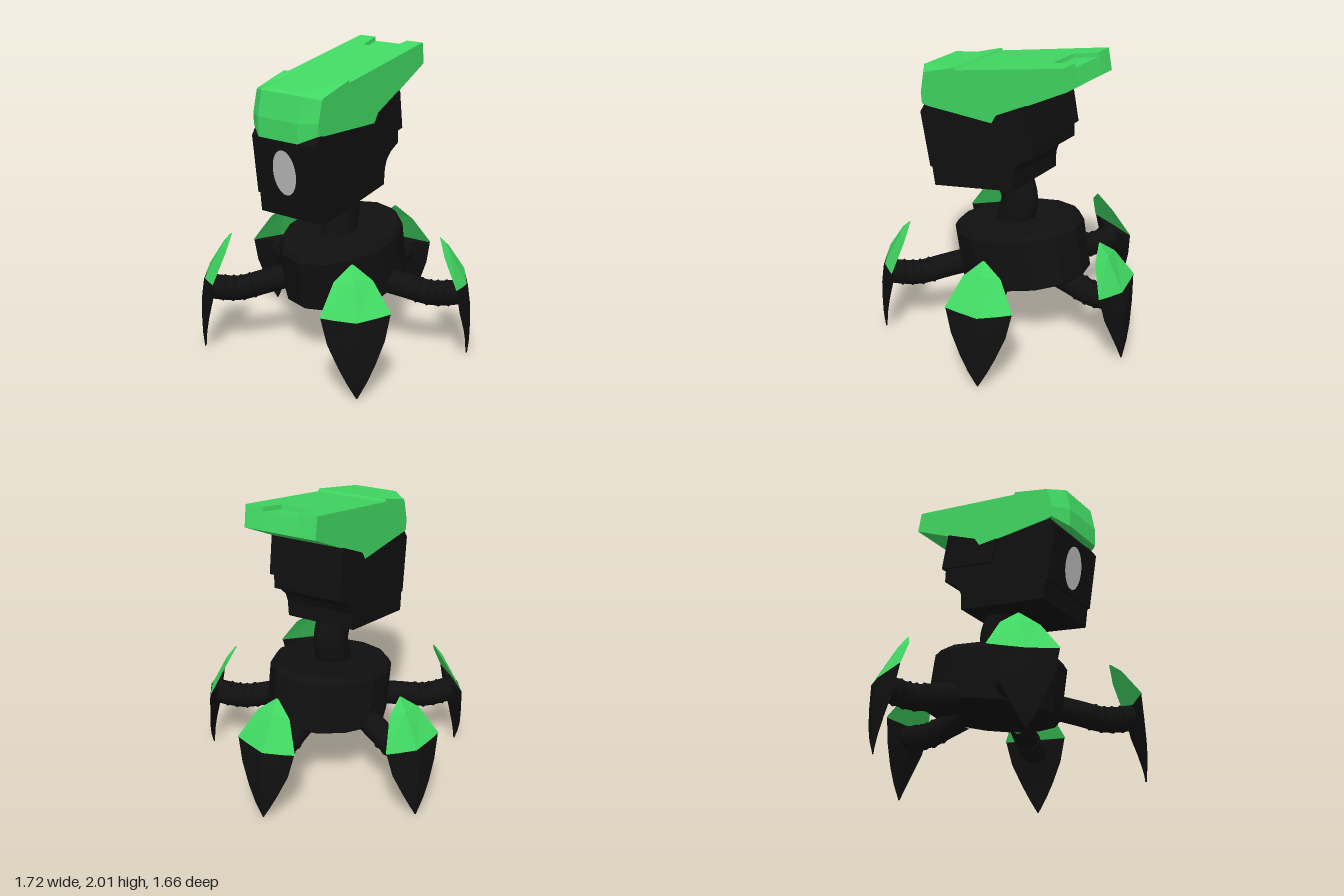
import * as THREE from 'three';

const paint = (name, color) => Object.assign(new THREE.MeshStandardMaterial({ color }), { name });

// Flat-faced solid from four-cornered sections, listed from top to bottom:
// [middle y, edge y, half width, edge depth, outer depth, inner depth]
function loft(sections) {
  const rings = sections.map(([ym, ye, w, edge, outer, inner]) =>
    [[-w, ye, edge], [0, ym, outer], [w, ye, edge], [0, ym, inner]]);
  const pos = [];
  const tri = (a, b, c) => pos.push(...a, ...b, ...c);
  for (let k = 0; k < rings.length - 1; k++) {
    const a = rings[k], b = rings[k + 1];
    for (let i = 0; i < 4; i++) {
      const j = (i + 1) % 4;
      tri(b[i], b[j], a[j]);
      tri(b[i], a[j], a[i]);
    }
  }
  const t = rings[0], e = rings[rings.length - 1];
  tri(t[0], t[1], t[2]); tri(t[0], t[2], t[3]);
  tri(e[0], e[2], e[1]); tri(e[0], e[3], e[2]);
  const g = new THREE.BufferGeometry();
  g.setAttribute('position', new THREE.Float32BufferAttribute(pos, 3));
  g.computeVertexNormals();
  return g;
}

// Side profile of [z, y] points stretched across x through the given stations;
// rule(point, station index) may shift points at each station
function sideExtrude(profile, stations, rule) {
  const shape = new THREE.Shape(profile.map(([z, y]) => new THREE.Vector2(z, y)));
  const steps = stations.length - 1;
  const g = new THREE.ExtrudeGeometry(shape, { depth: 1, steps, bevelEnabled: false });
  const p = g.attributes.position;
  for (let i = 0; i < p.count; i++) {
    const s = Math.round(p.getZ(i) * steps);
    const v = new THREE.Vector3(-stations[s], p.getY(i), p.getX(i));
    if (rule) rule(v, s);
    p.setXYZ(i, v.x, v.y, v.z);
  }
  g.computeVertexNormals();
  return g;
}

export function createModel() {
  const black = paint('black shell', 0x101010);
  const green = paint('green armour', 0x41d963);
  const grey = paint('grey eye', 0xc0c0c0);
  const model = new THREE.Group();
  model.name = 'walkerRobot';
  const add = (parent, name, geo, mat) => {
    const m = new THREE.Mesh(geo, mat);
    m.name = name;
    parent.add(m);
    return m;
  };

  // Tilted drum body with a small bevel
  const drum = [[0, -0.19], [0.46, -0.19], [0.47, -0.18], [0.47, 0.15], [0.44, 0.188], [0, 0.188]];
  const bodyGeo = new THREE.LatheGeometry(drum.map(([r, y]) => new THREE.Vector2(r, y)), 14).toNonIndexed();
  bodyGeo.scale(0.83, 1, 1);
  bodyGeo.computeVertexNormals();
  const body = add(model, 'body', bodyGeo, black);
  body.position.set(-0.01, 0.605, -0.005);
  body.rotation.x = 0.175;

  // Curved neck
  const neckPath = new THREE.CatmullRomCurve3([[0.07, 0.7], [0.035, 0.82], [0.01, 0.95], [0.06, 1.08], [0.12, 1.16]]
    .map(([z, y]) => new THREE.Vector3(-0.01, y, z)));
  add(model, 'neck', new THREE.TubeGeometry(neckPath, 16, 0.13, 16), black).scale.x = 0.86;

  // Head, slightly rolled to one side
  const head = new THREE.Group();
  head.name = 'head';
  head.position.x = -0.037;
  head.rotation.z = -0.03;
  model.add(head);

  add(head, 'face', sideExtrude([
    [0.635, 1.5], [0.575, 1.12], [0.557, 1.12], [0.54, 0.99], [-0.115, 1.11], [-0.12, 1.22],
    [-0.14, 1.275], [-0.19, 1.325], [-0.265, 1.365], [-0.26, 1.5], [-0.22, 1.7], [-0.15, 1.74], [0.57, 1.6],
  ], [-0.246, 0.246]), black);

  // Wider plates at the back of the head
  add(head, 'backHeadPanel', sideExtrude([
    [0.18, 1.545], [0.14, 1.38], [-0.285, 1.465], [-0.24, 1.72], [-0.01, 1.61], [0.03, 1.545],
  ], [-0.263, 0.263]), black);

  // Oval eye lying on the sloping face
  const eye = add(head, 'eye', new THREE.CircleGeometry(1, 40), grey);
  eye.scale.set(0.09, 0.15, 1);
  eye.position.set(-0.005, 1.295, 0.613);
  eye.rotation.x = 0.165;

  // Helmet: chamfered front corners and a tapered notch at the rear of the top
  add(head, 'helmet', sideExtrude([
    [0.685, 1.515], [0.69, 1.64], [0.66, 1.8], [0.635, 1.812], [0.32, 1.862], [0.31, 1.846], [-0.34, 1.97],
    [-0.345, 1.971], [-0.51, 2.002], [-0.535, 1.862], [-0.24, 1.715], [-0.01, 1.61],
    [0.03, 1.547], [0.56, 1.557],
  ], [-0.252, -0.15, -0.128, -0.125, 0.125, 0.128, 0.15, 0.252], (v, s) => {
    if ((s === 0 || s === 7) && v.z > 0.6) {
      v.z -= v.z > 0.65 ? 0.075 : 0.06;
      if (v.y < 1.6) v.y += 0.05;
      if (v.y > 1.75) v.y -= 0.025;
    }
    if (s > 1 && s < 6 && v.y > 1.95) {
      if (v.z > -0.4) v.x *= 0.83;
      if (s > 2 && s < 5 && v.z < -0.342) v.y -= 0.028;
    }
  }), green);

  // Five legs: [x, z of the armour plate, outward direction x, z]
  const plateGeo = loft([
    [0.79, 0.79, 0.008, -0.14, -0.135, -0.145],
    [0.71, 0.7, 0.12, -0.095, -0.075, -0.09],
    [0.48, 0.515, 0.218, 0, 0.045, 0.03],
  ]);
  const clawGeo = loft([
    [0.48, 0.513, 0.212, 0, 0.05, -0.03],
    [0.35, 0.35, 0.175, 0.02, 0.068, -0.01],
    [0.2, 0.2, 0.11, 0.045, 0.072, 0.025],
    [0.1, 0.1, 0.06, 0.055, 0.07, 0.042],
    [0, 0, 0.004, 0.055, 0.06, 0.05],
  ]);
  const armPath = new THREE.CatmullRomCurve3([[-0.5, 0.47], [-0.36, 0.44], [-0.2, 0.405], [-0.1, 0.41], [0.01, 0.43]]
    .map(([z, y]) => new THREE.Vector3(0, y, z)));
  const armGeo = new THREE.TubeGeometry(armPath, 16, 0.083, 14);
  const ringGeo = new THREE.TorusGeometry(0.079, 0.011, 6, 18);

  [
    ['backLeg', 0, -0.77, 0, -1],
    ['leftLeg', 0.77, -0.24, 0.92, -0.39],
    ['rightLeg', -0.78, -0.265, -0.92, -0.39],
    ['frontLeftLeg', 0.575, 0.67, 0.7, 0.72],
    ['frontRightLeg', -0.62, 0.645, -0.7, 0.72],
  ].forEach(([name, x, z, dx, dz]) => {
    const leg = new THREE.Group();
    leg.name = name;
    leg.position.set(x, 0, z);
    leg.rotation.y = Math.atan2(dx, dz);
    model.add(leg);
    add(leg, 'armourPlate', plateGeo, green);
    add(leg, 'claw', clawGeo, black);
    add(leg, 'arm', armGeo, black);
    // Ribs along the arm
    for (const t of [0.45, 0.58, 0.7, 0.82]) {
      const ring = add(leg, 'armRib', ringGeo, black);
      ring.position.copy(armPath.getPointAt(t));
      ring.quaternion.setFromUnitVectors(new THREE.Vector3(0, 0, 1), armPath.getTangentAt(t));
    }
  });
  return model;
}
